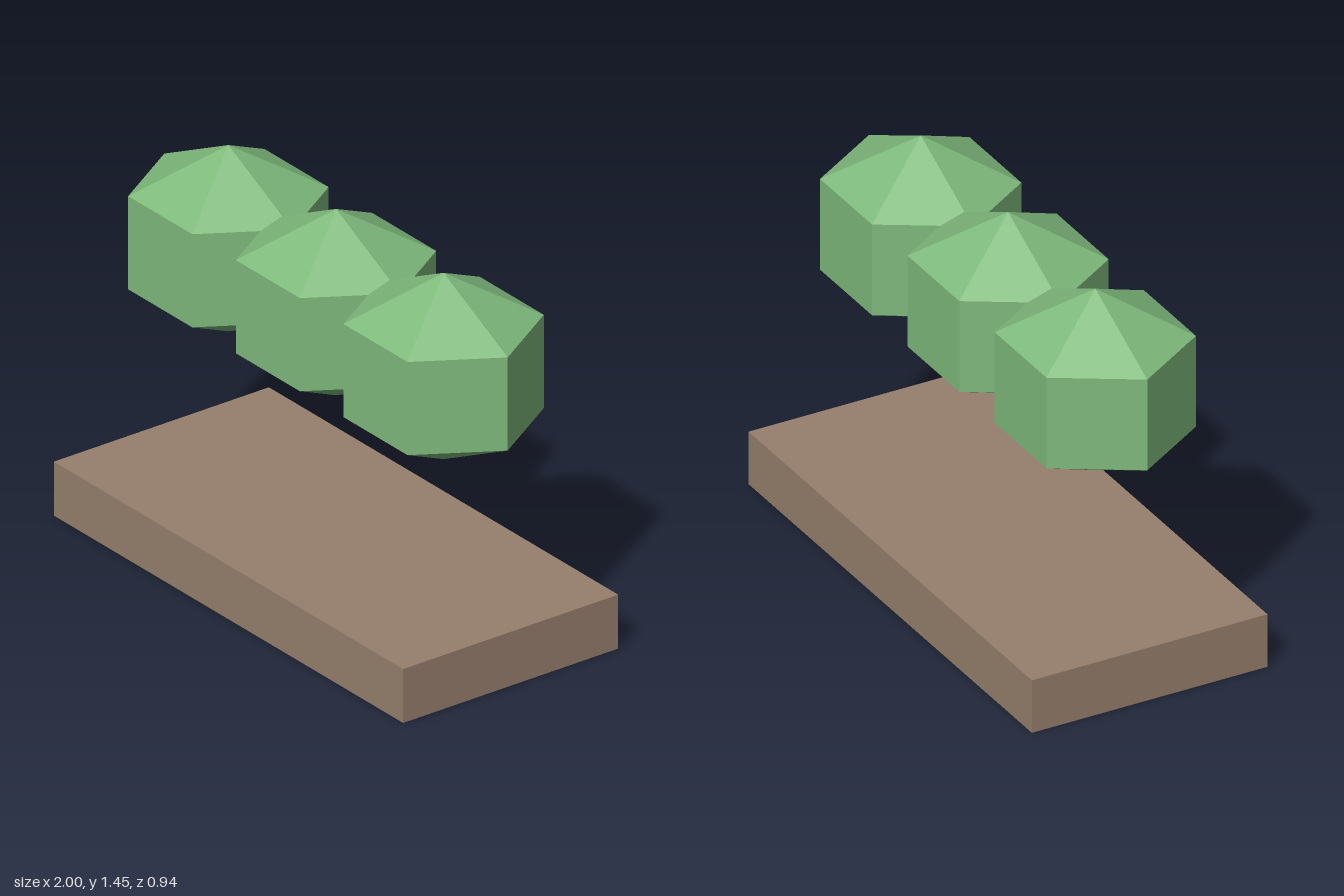
import * as THREE from 'three';

export function createModel() {
  const group = new THREE.Group();
  const green = new THREE.MeshStandardMaterial({ color: 0x7fba7c });
  green.name = 'leafGreen';
  const brown = new THREE.MeshStandardMaterial({ color: 0x967f6c });
  brown.name = 'earthBrown';

  // Planter slab on the ground
  const baseHeight = 0.21;
  const base = new THREE.Mesh(new THREE.BoxGeometry(2, baseHeight, 0.94), brown);
  base.name = 'base';
  base.position.y = baseHeight / 2;
  group.add(base);

  // Low-poly bush: six-sided sphere with three bands, stretched to size
  const ring = Math.sin(Math.PI / 3); // radius of the middle band on a unit sphere
  const bushGeometry = new THREE.SphereGeometry(1, 6, 3)
    .scale(0.367 / ring, 0.363, 0.298 / (ring * ring))
    .toNonIndexed();
  bushGeometry.computeVertexNormals(); // flat facets

  // Row of three overlapping bushes above the slab
  ['rightBush', 'middleBush', 'leftBush'].forEach((name, i) => {
    const bush = new THREE.Mesh(bushGeometry, green);
    bush.name = name;
    bush.position.set((i - 1) * 0.616, 1.091, 0);
    group.add(bush);
  });

  return group;
}
